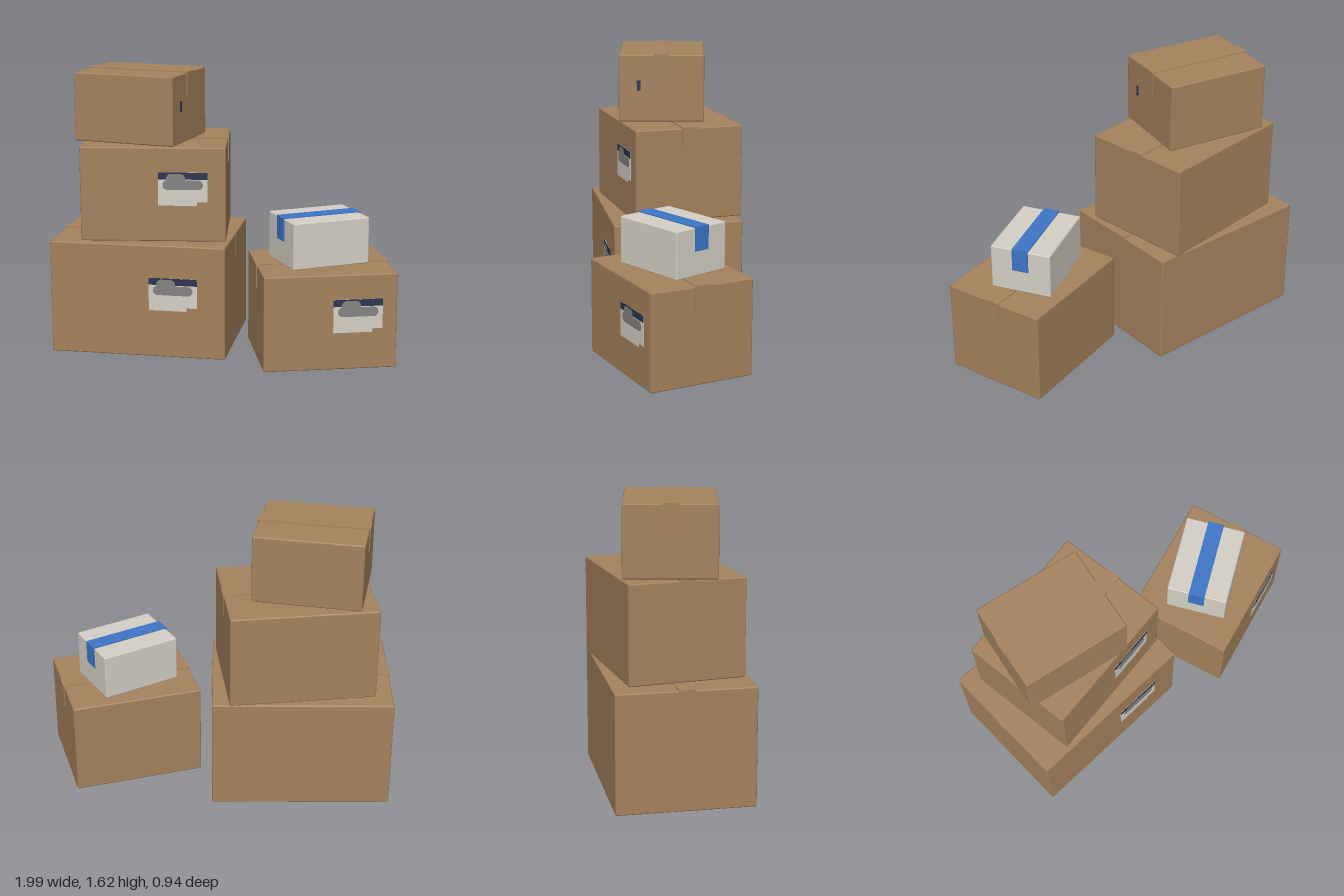
import * as THREE from 'three';
import { RoundedBoxGeometry } from 'three/addons/geometries/RoundedBoxGeometry.js';

const mat = (name, color) => {
  const m = new THREE.MeshStandardMaterial({ color });
  m.name = name;
  return m;
};

export function createModel() {
  const cardboard = mat('cardboard', 0xa5825d);
  const white = mat('white card', 0xd4d0c6);
  const blue = mat('blue tape', 0x3d76c6);
  const navy = mat('navy print', 0x2c3450);
  const grey = mat('grey print', 0x838383);

  const model = new THREE.Group();
  model.name = 'boxStacks';

  const add = (parent, name, geometry, material, x, y, z) => {
    const mesh = new THREE.Mesh(geometry, material);
    mesh.name = name;
    mesh.position.set(x, y, z);
    parent.add(mesh);
    return mesh;
  };

  // Closed carton with a strip of tape over the top and down both ends
  function carton({ name, size: [w, h, d], at: [x, y, z], turn, body, tape, tapeWidth, drop }) {
    const box = new THREE.Group();
    box.name = name;
    box.position.set(x, y, z);
    box.rotation.y = turn;
    model.add(box);
    add(box, 'carton', new RoundedBoxGeometry(w, h, d, 1, 0.008), body, 0, h / 2, 0);
    const t = 0.005;
    add(box, 'topTape', new THREE.BoxGeometry(w + 2 * t, t, tapeWidth), tape, 0, h + t / 2, 0);
    for (const side of [-1, 1]) {
      add(box, 'endTape', new THREE.BoxGeometry(t, drop, tapeWidth), tape,
        side * (w + t) / 2, h - drop / 2, 0);
    }
    return box;
  }

  // Printed label on the front: torn-corner sheet, dark header and grey bars
  function label(box, x, y, z) {
    const g = new THREE.Group();
    g.name = 'label';
    g.position.set(x, y, z);
    box.add(g);
    const sheet = new THREE.Shape([
      [-0.14, -0.095], [0.08, -0.095], [0.08, -0.075], [0.14, -0.075], [0.14, 0.097], [-0.14, 0.097],
    ].map(([a, b]) => new THREE.Vector2(a, b)));
    add(g, 'sheet', new THREE.ExtrudeGeometry(sheet, { depth: 0.002, bevelEnabled: false }), white, 0, 0, 0);
    add(g, 'header', new THREE.BoxGeometry(0.28, 0.04, 0.002), navy, 0, 0.077, 0.002);
    const bar = (w, h, bx, by, bz) => {
      const s = new THREE.Shape();
      const r = h / 2, e = w / 2 - r;
      s.absarc(e, 0, r, -Math.PI / 2, Math.PI / 2);
      s.absarc(-e, 0, r, Math.PI / 2, Math.PI * 1.5);
      add(g, 'greyBar', new THREE.ShapeGeometry(s, 8), grey, bx, by, bz);
    };
    bar(0.23, 0.055, 0, 0.025, 0.004);
    bar(0.11, 0.06, -0.04, 0.06, 0.0045);
  }

  const brown = { body: cardboard, tape: cardboard, tapeWidth: 0.088, drop: 0.13 };

  // Left stack
  const large = carton({ ...brown, name: 'largeBox', size: [1.02, 0.66, 0.76], at: [-0.488, 0, -0.08], turn: 0 });
  label(large, 0.208, 0.373, 0.38);
  const middle = carton({ ...brown, name: 'middleBox', size: [0.83, 0.545, 0.65], at: [-0.448, 0.665, -0.1], turn: 0.128 });
  label(middle, 0.17, 0.305, 0.325);
  const small = carton({ ...brown, name: 'smallBox', size: [0.612, 0.395, 0.502], at: [-0.54, 1.215, -0.08], turn: -0.19 });
  add(small, 'barcode', new THREE.BoxGeometry(0.004, 0.06, 0.022), navy, 0.306, 0.215, 0.133);

  // Right stack
  const wide = carton({ ...brown, name: 'wideBox', size: [0.755, 0.55, 0.612], at: [0.54, 0, 0.067], turn: 0.297 });
  label(wide, 0.155, 0.31, 0.306);
  carton({
    name: 'whiteBox', size: [0.468, 0.268, 0.355], at: [0.522, 0.555, 0.05], turn: 0.54,
    body: white, tape: blue, tapeWidth: 0.095, drop: 0.13,
  });

  return model;
}
